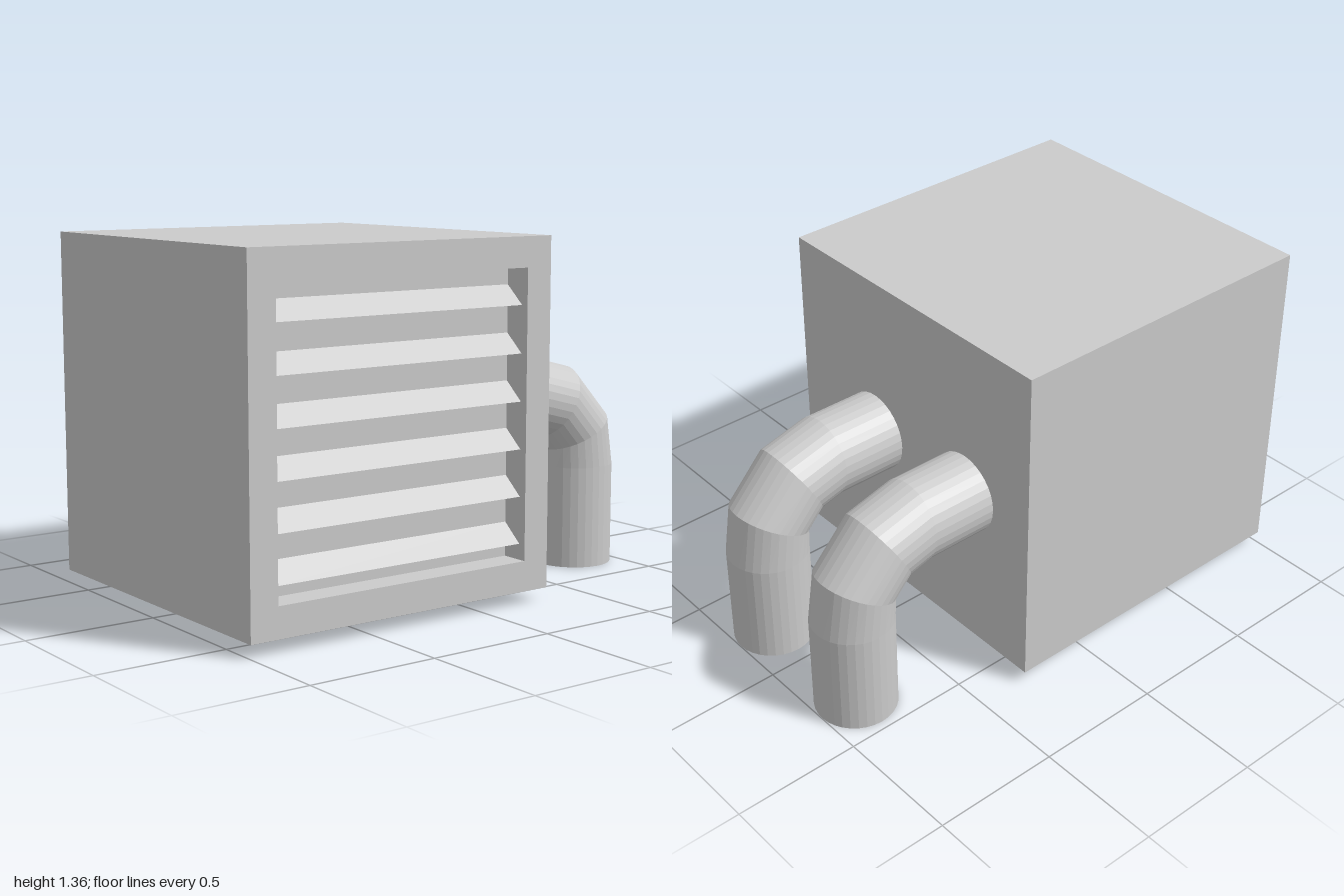
import * as THREE from 'three';

const material = new THREE.MeshStandardMaterial({ color: 0xcccccc, flatShading: true });
const sheet = new THREE.MeshStandardMaterial({ color: 0xcccccc, flatShading: true, side: THREE.DoubleSide });

const LEFT = -1, RIGHT = 0.305, BOTTOM = 0.05, TOP = 1.36, HALF_DEPTH = 0.655;
const OPEN = { x0: -0.89, x1: 0.195, y0: 0.165, y1: 1.247 };
const RECESS = 0.11;
const PIPE_RADIUS = 0.158;

function addMesh(parent, name, geometry, mat = material) {
  const mesh = new THREE.Mesh(geometry, mat);
  mesh.name = name;
  parent.add(mesh);
  return mesh;
}

function rectangle(path, x0, x1, y0, y1) {
  path.moveTo(x0, y0).lineTo(x1, y0).lineTo(x1, y1).lineTo(x0, y1).closePath();
  return path;
}

// Elbow pipe: each row of a cylinder is moved to a ring [x, y, turn in degrees]
function pipeGeometry() {
  const rings = [
    [RIGHT - 0.01, 0.705, 0], [0.567, 0.705, 0], [0.71, 0.667, 29],
    [0.823, 0.545, 63], [0.84, 0.405, 90], [0.84, 0, 90],
  ];
  const rows = rings.length - 1;
  const geometry = new THREE.CylinderGeometry(PIPE_RADIUS, PIPE_RADIUS, 1, 32, rows);
  const pos = geometry.attributes.position;
  for (let i = 0; i < pos.count; i++) {
    const [cx, cy, degrees] = rings[Math.round((0.5 - pos.getY(i)) * rows)];
    const a = THREE.MathUtils.degToRad(degrees), u = pos.getX(i);
    pos.setXYZ(i, cx + Math.sin(a) * u, cy + Math.cos(a) * u, pos.getZ(i));
  }
  geometry.computeVertexNormals();
  return geometry;
}

export function createModel() {
  const model = new THREE.Group();
  model.name = 'ventUnit';

  // Solid housing behind the recess
  const depth = 2 * HALF_DEPTH - RECESS;
  addMesh(model, 'housing', new THREE.BoxGeometry(RIGHT - LEFT, TOP - BOTTOM, depth))
    .position.set((LEFT + RIGHT) / 2, (BOTTOM + TOP) / 2, -RECESS / 2);

  // Frame around the front opening
  const outline = rectangle(new THREE.Shape(), LEFT, RIGHT, BOTTOM, TOP);
  outline.holes.push(rectangle(new THREE.Path(), OPEN.x0, OPEN.x1, OPEN.y0, OPEN.y1));
  addMesh(model, 'frontFrame', new THREE.ExtrudeGeometry(outline, { depth: RECESS, bevelEnabled: false }))
    .position.z = HALF_DEPTH - RECESS;

  // Six louvre slats sloping down towards the front
  const rise = 0.07, run = 0.08;
  const slats = new THREE.Group();
  slats.name = 'louvre';
  model.add(slats);
  const slatGeometry = new THREE.PlaneGeometry(OPEN.x1 - OPEN.x0, Math.hypot(rise, run));
  for (let i = 0; i < 6; i++) {
    const slat = addMesh(slats, 'slat', slatGeometry, sheet);
    slat.position.set((OPEN.x0 + OPEN.x1) / 2, 0.26 + i * 0.177, HALF_DEPTH - RECESS + run / 2);
    slat.rotation.x = -Math.atan2(run, rise);
  }

  // Two pipes leaving the side and turning down to the ground
  const pipe = pipeGeometry();
  for (const z of [0.212, -0.309]) addMesh(model, 'elbowPipe', pipe).position.z = z;

  return model;
}
